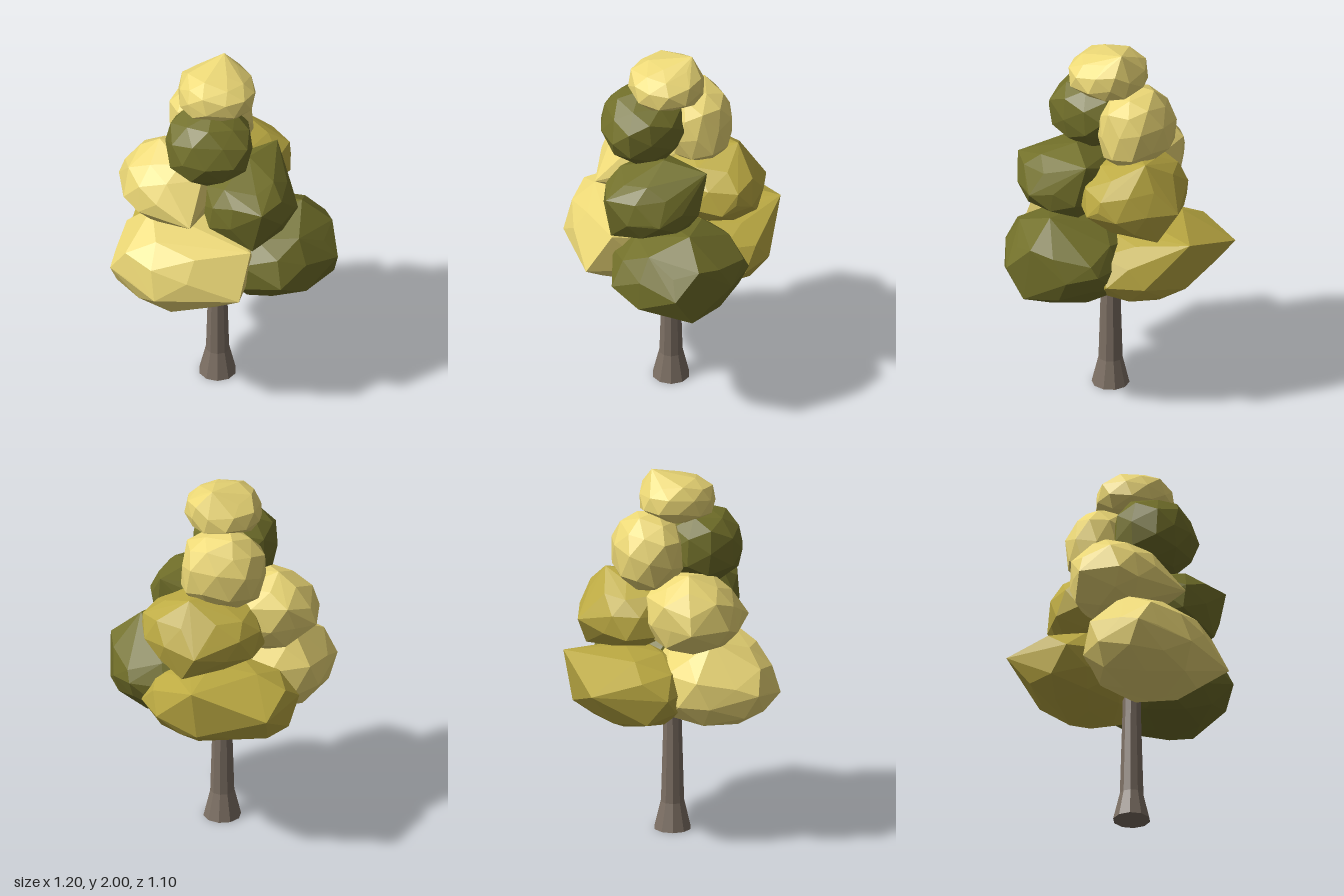
import * as THREE from 'three';
import { ConvexGeometry } from 'three/addons/geometries/ConvexGeometry.js';

const material = (color) => new THREE.MeshStandardMaterial({ color, flatShading: true });

// Small seeded generator for the uneven facets
function seeded(seed) {
  let s = seed * 7919 + 17;
  return () => (s = (s * 16807) % 2147483647) / 2147483647;
}

// Faceted leaf clump: the hull of a jittered, slightly boxy ellipsoid
// and a few distinct corners that stand out from it
function clumpGeometry(centre, radii, corners, seed) {
  const rand = seeded(seed);
  const turn = new THREE.Euler(rand() * 0.5, rand() * 6, rand() * 0.5);
  const mid = new THREE.Vector3(...centre);
  const scale = new THREE.Vector3(...radii);
  const boxy = (t) => Math.sign(t) * Math.abs(t) ** 0.88;
  const sphere = new THREE.IcosahedronGeometry(1, 1).attributes.position;
  const points = new Map();
  for (let i = 0; i < sphere.count; i++) {
    const v = new THREE.Vector3().fromBufferAttribute(sphere, i);
    const key = v.toArray().map((t) => Math.round(t * 100)).join();
    if (points.has(key)) continue;
    v.applyEuler(turn);
    v.set(boxy(v.x), boxy(v.y), boxy(v.z)).multiplyScalar(0.92 + rand() * 0.11);
    points.set(key, v.multiply(scale).add(mid));
  }
  return new ConvexGeometry([...points.values(), ...corners.map((c) => new THREE.Vector3(...c))]);
}

export function createModel() {
  const tree = new THREE.Group();
  tree.name = 'tree';

  // Trunk with a flared foot
  const profile = [[0, 0], [0.1, 0], [0.064, 0.15], [0.05, 0.62], [0.045, 0.95], [0, 0.95]]
    .map(([r, y]) => new THREE.Vector2(r, y));
  const trunk = new THREE.Mesh(new THREE.LatheGeometry(profile, 10), material(0x7d7064));
  trunk.name = 'trunk';
  trunk.position.set(-0.035, 0, 0.035);
  tree.add(trunk);

  const pale = material(0xecd876);
  const gold = material(0xbdab43);
  const olive = material(0x72702a);

  // Leaf clumps: name, material, centre, radii, corners
  const clumps = [
    ['lowerFrontLeaves', pale, [-0.21, 0.87, 0.21], [0.38, 0.24, 0.335],
      [[-0.38, 1.14, 0.14], [-0.6, 0.88, 0.32], [0.08, 0.82, 0.545], [-0.18, 0.6, 0.2],
        [0.14, 1.05, 0.42]]],
    ['lowerSideLeaves', olive, [0.25, 0.87, 0.09], [0.33, 0.235, 0.36],
      [[0.41, 1.15, 0.08], [0.6, 0.88, 0.22], [0.3, 0.85, 0.475], [0.41, 0.9, -0.25],
        [0.58, 0.72, 0.12], [0.57, 1.02, 0.08]]],
    ['lowerBackLeaves', gold, [-0.07, 0.84, -0.2], [0.41, 0.21, 0.31],
      [[-0.38, 0.9, -0.535], [0.02, 1.04, -0.555], [0, 0.76, -0.51]]],
    ['middleSideLeaves', pale, [-0.26, 1.27, 0.06], [0.275, 0.21, 0.26],
      [[-0.34, 1.505, 0.02], [-0.53, 1.24, 0.18], [-0.555, 1.24, -0.04], [-0.18, 1.2, 0.41]]],
    ['middleFrontLeaves', olive, [0.12, 1.25, 0.18], [0.26, 0.195, 0.27],
      [[0.28, 1.44, -0.06], [0.39, 1.22, 0.24], [0.2, 1.33, 0.475], [0.15, 1.07, 0.43],
        [0.13, 1.47, 0.13]]],
    ['middleBackLeaves', gold, [0.02, 1.24, -0.18], [0.33, 0.205, 0.25],
      [[0.02, 1.2, -0.475], [0.08, 1.46, -0.3], [0.1, 1.04, -0.4], [0.35, 1.25, -0.2]]],
    ['upperFrontLeaves', olive, [-0.07, 1.59, 0.18], [0.24, 0.21, 0.225], []],
    ['upperBackLeaves', pale, [-0.07, 1.565, -0.115], [0.235, 0.23, 0.185], []],
    ['crownLeaves', pale, [-0.04, 1.845, 0.055], [0.21, 0.13, 0.205],
      [[0, 2, -0.07]]],
  ];
  clumps.forEach(([name, mat, centre, radii, corners], i) => {
    const mesh = new THREE.Mesh(clumpGeometry(centre, radii, corners, i + 1), mat);
    mesh.name = name;
    tree.add(mesh);
  });
  return tree;
}
